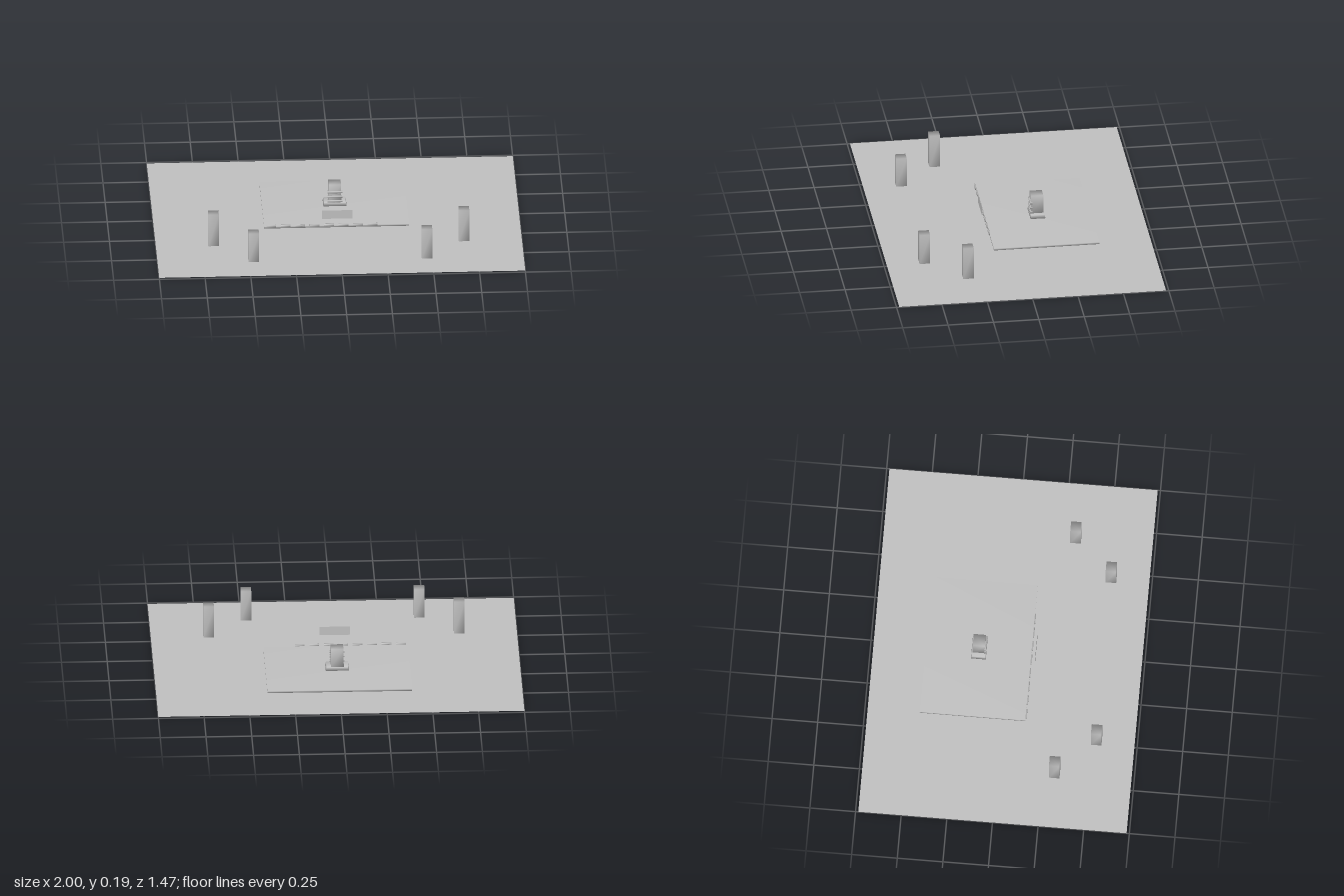
import * as THREE from 'three';
import { mergeVertices } from 'three/addons/utils/BufferGeometryUtils.js';

// Box with shared corners (soft normals), standing on y = 0, optionally tapered to the top
function softBox(w, h, d, taper = 1) {
  let g = new THREE.BoxGeometry(w, h, d).translate(0, h / 2, 0);
  g.deleteAttribute('normal');
  g.deleteAttribute('uv');
  g = mergeVertices(g);
  const p = g.attributes.position;
  for (let i = 0; i < p.count; i++) {
    if (p.getY(i) > h / 2) p.setXYZ(i, p.getX(i) * taper, h, p.getZ(i) * taper);
  }
  g.computeVertexNormals();
  return g;
}

export function createModel() {
  const group = new THREE.Group();
  const stone = new THREE.MeshStandardMaterial({ color: 0xc0c0c0, side: THREE.DoubleSide });
  stone.name = 'grey stone';

  const add = (name, geometry, x, y, z, parent = group) => {
    const mesh = new THREE.Mesh(geometry, stone);
    mesh.name = name;
    mesh.position.set(x, y, z);
    parent.add(mesh);
    return mesh;
  };

  // Ground sheet and raised platform
  add('ground', new THREE.PlaneGeometry(2, 1.47).rotateX(-Math.PI / 2), 0, 0.002, 0);
  add('platform', softBox(0.79, 0.011, 0.58), -0.003, 0.002, -0.16);

  // Row of edge strips along the platform front
  for (let i = 0; i < 8; i++) {
    add('edgeStrip', softBox(0.053, 0.012, 0.007), -0.36 + i * 0.079, 0.011, 0.132);
  }

  // Floating sign sheet
  add('sign', new THREE.PlaneGeometry(0.168, 0.05), 0, 0.09, 0.155);

  // Monument: base, block and three bars across its front
  const monument = new THREE.Group();
  monument.name = 'monument';
  monument.position.set(0, 0, -0.157);
  group.add(monument);
  add('monumentBase', softBox(0.128, 0.021, 0.082, 0.92), 0, 0.012, 0, monument);
  add('monumentBlock', softBox(0.07, 0.106, 0.07, 0.96), 0, 0.032, 0, monument);
  for (const y of [0.041, 0.067, 0.095]) {
    add('frontBar', softBox(0.08, 0.011, 0.012), 0, y - 0.005, 0.034, monument);
  }

  // Four pillars of slightly different heights: x, z, height
  for (const [x, z, h] of [
    [-0.685, 0.314, 0.191], [-0.475, 0.526, 0.171],
    [0.472, 0.526, 0.177], [0.684, 0.314, 0.187],
  ]) {
    add('pillar', softBox(0.058, h, 0.058), x, 0, z);
  }
  return group;
}
